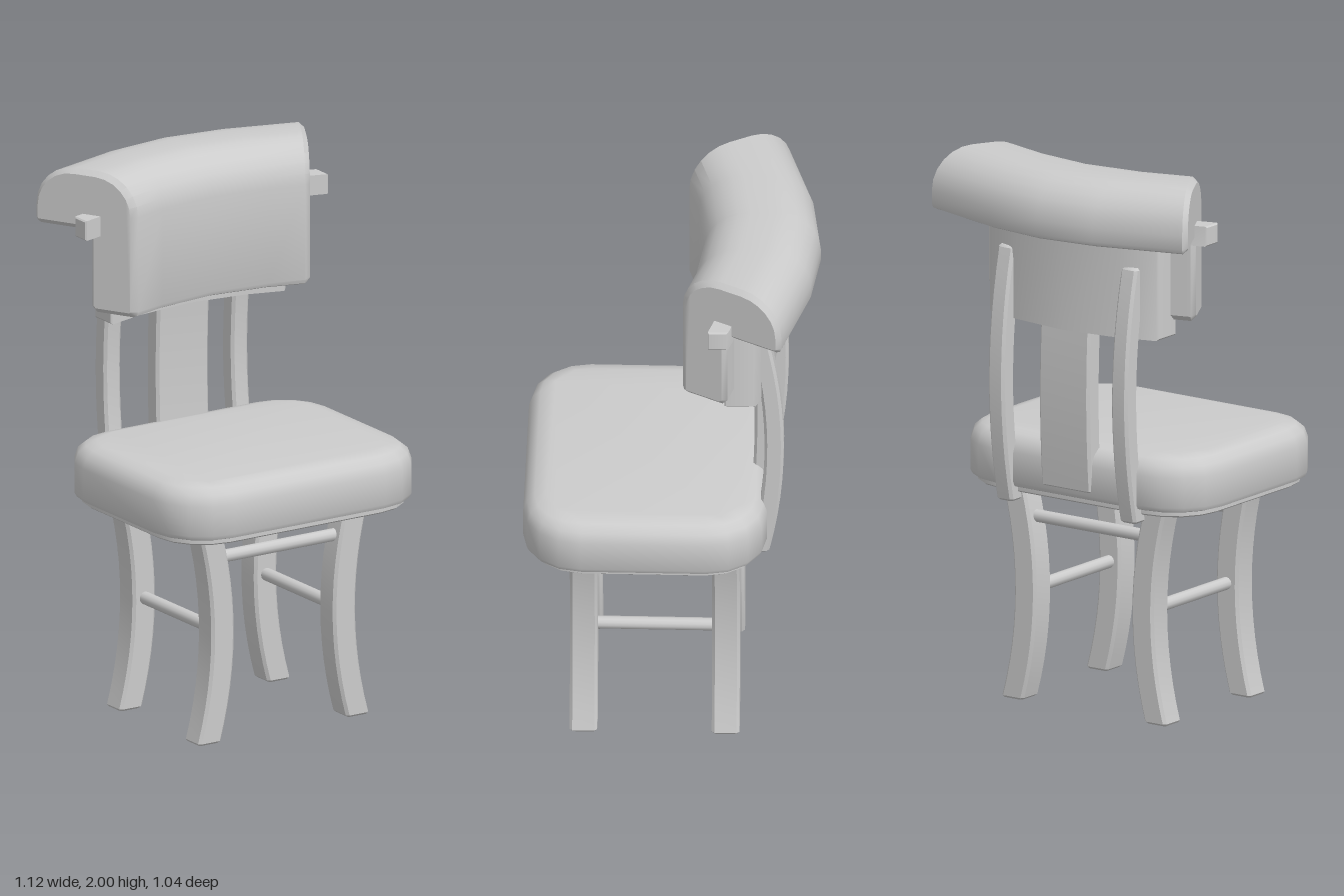
import * as THREE from 'three';
import { toCreasedNormals } from 'three/addons/utils/BufferGeometryUtils.js';

const material = new THREE.MeshStandardMaterial({ color: 0xcccccc });

// Join equal-length rings of [x, y, z] into a closed solid; cap2D is the ring's flat outline.
function loft(rings, cap2D, crease = 0.7) {
  const n = cap2D.length, last = (rings.length - 1) * n, index = [];
  for (let r = 0; r < rings.length - 1; r++) {
    for (let i = 0; i < n; i++) {
      const a = r * n + i, b = r * n + (i + 1) % n;
      index.push(a, b, b + n, a, b + n, a + n);
    }
  }
  const outline = cap2D.map(([x, y]) => new THREE.Vector2(x, y));
  for (const [a, b, c] of THREE.ShapeUtils.triangulateShape(outline, [])) {
    index.push(a, c, b, last + a, last + b, last + c);
  }
  // Turn the faces outward if the enclosed volume is negative
  const p = rings.flat().map((v) => new THREE.Vector3(...v));
  let volume = 0;
  for (let i = 0; i < index.length; i += 3) {
    volume += p[index[i]].dot(p[index[i + 1]].clone().cross(p[index[i + 2]]));
  }
  if (volume < 0) index.reverse();
  const geometry = new THREE.BufferGeometry().setFromPoints(p);
  geometry.setIndex(index);
  return toCreasedNormals(geometry, crease);
}

// Move a counter-clockwise outline inward by d
function inset(points, d) {
  return points.map(([x, y], i) => {
    const [px, py] = points[(i + points.length - 1) % points.length];
    const [nx, ny] = points[(i + 1) % points.length];
    const a = new THREE.Vector2(py - y, x - px).normalize();
    const b = new THREE.Vector2(y - ny, nx - x).normalize();
    const k = d / (1 + a.dot(b));
    return [x + (a.x + b.x) * k, y + (a.y + b.y) * k];
  });
}

// Counter-clockwise rectangle with rounded corners
function roundedRect(x0, x1, y0, y1, r, segments) {
  const points = [];
  [[x1 - r, y1 - r], [x0 + r, y1 - r], [x0 + r, y0 + r], [x1 - r, y0 + r]].forEach(([cx, cy], q) => {
    for (let i = 0; i <= segments; i++) {
      const a = (q + i / segments) * Math.PI / 2;
      points.push([cx + r * Math.cos(a), cy + r * Math.sin(a)]);
    }
  });
  return points;
}

// Forward curve of the backrest at distance x from the middle
const bend = (x) => Math.abs(x) < 0.225 ? Math.abs(x) * 0.125 : 0.028 + (Math.abs(x) - 0.225) * 0.29;

// Sweep a (z, y) profile across x along the backrest curve, with bevelled ends
function curvedPanel(profile, halfWidth, bevel) {
  const small = inset(profile, bevel);
  const ring = (shape, xAt) => shape.map(([z, y]) => {
    const x = xAt(z);
    return [x, y, z + bend(x)];
  });
  return loft([
    ring(small, (z) => -halfWidth(z)),
    ring(profile, (z) => bevel - halfWidth(z)),
    ...[-0.225, 0, 0.225].map((x) => ring(profile, () => x)),
    ring(profile, (z) => halfWidth(z) - bevel),
    ring(small, halfWidth),
  ], profile);
}

// Upright bar of rectangular section whose middle follows offset(y) -> [x, z]
function upright(width, depth, y0, y1, offset, steps = 12) {
  const section = roundedRect(-width / 2, width / 2, -depth / 2, depth / 2, 0.01, 1);
  const small = inset(section, 0.008);
  const ring = (shape, y) => {
    const [ox, oz] = offset(y);
    return shape.map(([x, z]) => [x + ox, y, z + oz]);
  };
  const rings = [ring(small, y0)];
  for (let i = 0; i <= steps; i++) rings.push(ring(section, y0 + 0.008 + (y1 - y0 - 0.016) * i / steps));
  rings.push(ring(small, y1));
  return loft(rings, section, 0.5);
}

export function createModel() {
  const group = new THREE.Group();
  const add = (name, geometry) => {
    const mesh = new THREE.Mesh(geometry, material);
    mesh.name = name;
    group.add(mesh);
    return mesh;
  };

  // Cushioned seat and the thin board under it
  const plan = roundedRect(-0.53, 0.53, -0.34, 0.52, 0.21, 4);
  const layers = (list) => loft(list.map(([y, d]) => inset(plan, d).map(([x, z]) => [x, y, z])), plan);
  add('seatCushion', layers([[0.8, 0.025], [0.806, 0.008], [0.822, 0], [0.93, 0], [0.967, 0.013], [0.99, 0.04], [1, 0.08]]));
  add('seatBoard', layers([[0.78, 0.035], [0.786, 0.027], [0.805, 0.027]]));

  // Bowed legs
  const legX = (y) => 0.257 + 0.058 * ((y - 0.4) / 0.4) ** 2;
  for (const side of [1, -1]) {
    for (const [name, z] of [['frontLeg', 0.307], ['backLeg', -0.195]]) {
      add(name, upright(0.095, 0.098, 0, 0.79, (y) => [side * legX(y), z]));
    }
  }

  // Round stretchers between the legs
  for (const side of [1, -1]) {
    const rail = add('sideStretcher', new THREE.CylinderGeometry(0.023, 0.023, 0.46, 12));
    rail.rotation.x = Math.PI / 2;
    rail.position.set(side * 0.257, 0.405, 0.056);
  }
  for (const z of [0.307, -0.195]) {
    const rail = add('crossStretcher', new THREE.CylinderGeometry(0.023, 0.023, 0.54, 12));
    rail.rotation.z = Math.PI / 2;
    rail.position.set(0, 0.67, z);
  }

  // Curved back posts and the central splat
  const bow = (y) => 0.055 * (1 - ((y - 1.2) / 0.46) ** 2);
  for (const side of [1, -1]) {
    add('backPost', upright(0.07, 0.068, 0.75, 1.68, (y) => [side * 0.27, -0.31 - bow(y)]));
  }
  add('backSplat', upright(0.22, 0.07, 0.83, 1.46, (y) => [0, -0.305 - 0.02 * (1 - ((y - 1.18) / 0.4) ** 2)]));

  // Curved board behind the backrest
  add('backBoard', curvedPanel([[-0.37, 1.42], [-0.26, 1.42], [-0.26, 1.79], [-0.37, 1.79]], () => 0.37, 0.006));

  // Padded backrest that rolls over to the rear, with slanted ends
  const arc = (cz, cy, rz, ry, from) => Array.from({ length: 7 }, (_, i) => {
    const a = from + i / 6 * Math.PI / 2;
    return [cz + rz * Math.cos(a), cy + ry * Math.sin(a)];
  });
  const padProfile = [
    [-0.295, 1.5], [-0.275, 1.48], [-0.13, 1.48], [-0.116, 1.486], [-0.11, 1.5],
    ...arc(-0.27, 1.85, 0.16, 0.15, 0),
    ...arc(-0.36, 1.85, 0.16, 0.15, Math.PI / 2),
    [-0.52, 1.8], [-0.514, 1.786], [-0.5, 1.78], [-0.295, 1.78],
  ];
  add('backrestPad', curvedPanel(padProfile, (z) => 0.372 + 0.476 * (-0.11 - z), 0.018));

  // Bar whose ends stick out at both sides of the backrest
  add('backrestBar', curvedPanel([[-0.32, 1.767], [-0.248, 1.767], [-0.248, 1.84], [-0.32, 1.84]], () => 0.515, 0.005));

  return group;
}
